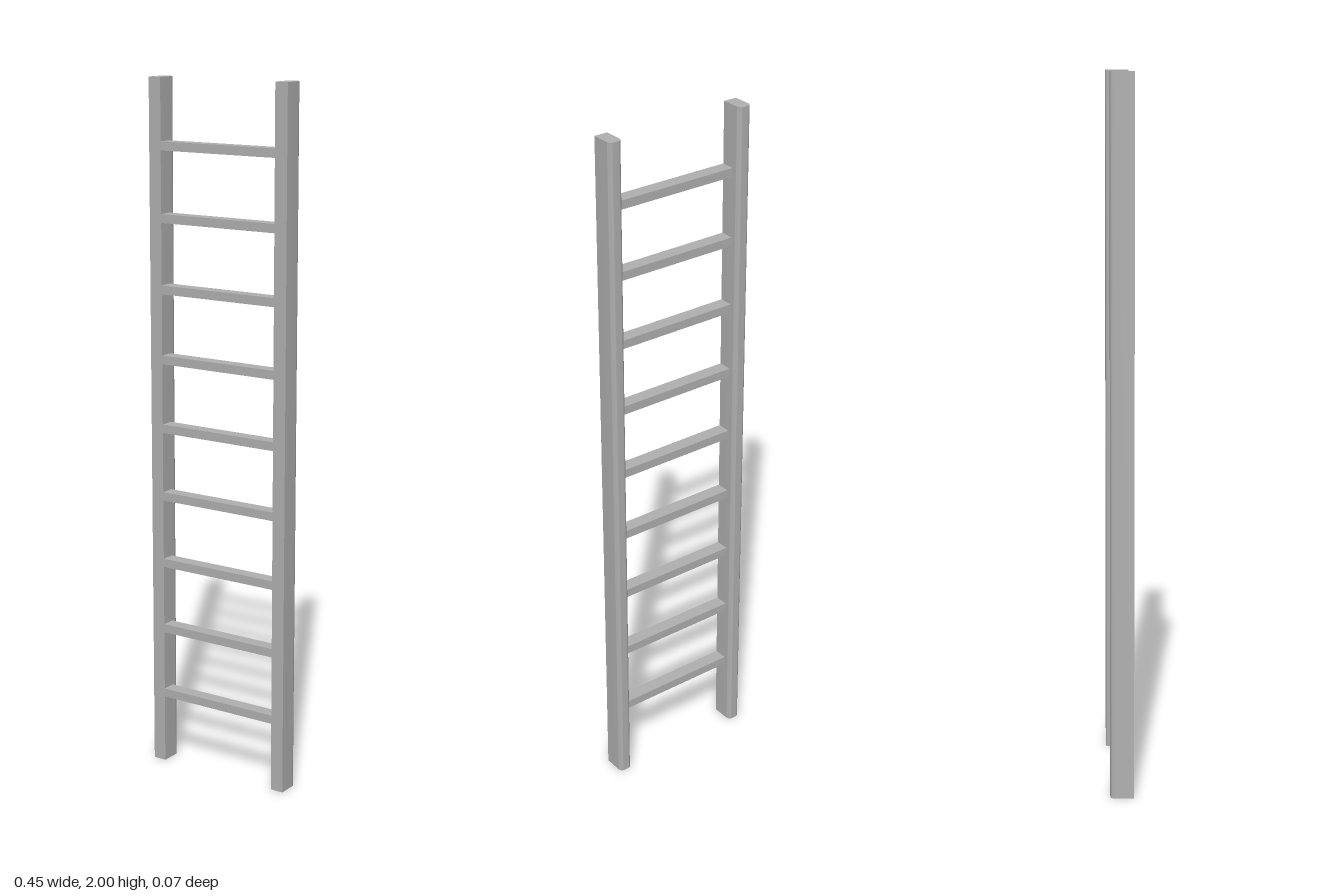
import * as THREE from 'three';
import { toCreasedNormals } from 'three/addons/utils/BufferGeometryUtils.js';

const HEIGHT = 2, HALF_WIDTH = 0.226, RAIL_WIDTH = 0.039, HALF_DEPTH = 0.033;

// Rail cross-section: square at the front, rounded at the two back corners
function railGeometry() {
  const w = RAIL_WIDTH / 2, d = HALF_DEPTH, r = 0.013;
  const shape = new THREE.Shape();
  shape.moveTo(-w, -d);
  shape.lineTo(w, -d);
  shape.lineTo(w, d - r);
  shape.absarc(w - r, d - r, r, 0, Math.PI / 2);
  shape.absarc(-w + r, d - r, r, Math.PI / 2, Math.PI);
  shape.closePath();
  const geometry = new THREE.ExtrudeGeometry(shape, { depth: HEIGHT, bevelEnabled: false, curveSegments: 6 });
  geometry.rotateX(-Math.PI / 2); // stand upright, rounded side to the back
  return toCreasedNormals(geometry, Math.PI / 6);
}

export function createModel() {
  const grey = new THREE.MeshStandardMaterial({ color: 0xb0b0b0 });
  grey.name = 'grey';
  const ladder = new THREE.Group();
  ladder.name = 'ladder';

  // Two upright side rails
  const railGeo = railGeometry();
  for (const side of [-1, 1]) {
    const rail = new THREE.Mesh(railGeo, grey);
    rail.name = side > 0 ? 'leftRail' : 'rightRail';
    rail.position.x = side * (HALF_WIDTH - RAIL_WIDTH / 2);
    ladder.add(rail);
  }

  // Nine rungs, flush with the front of the rails
  const rungHeight = 0.025, rungDepth = 0.04;
  const rungGeo = new THREE.BoxGeometry(2 * (HALF_WIDTH - RAIL_WIDTH), rungHeight, rungDepth);
  for (let i = 1; i <= 9; i++) {
    const rung = new THREE.Mesh(rungGeo, grey);
    rung.name = `rung${i}`;
    rung.position.set(0, i * 0.2 + 0.001 + rungHeight / 2, HALF_DEPTH - rungDepth / 2);
    ladder.add(rung);
  }
  return ladder;
}
